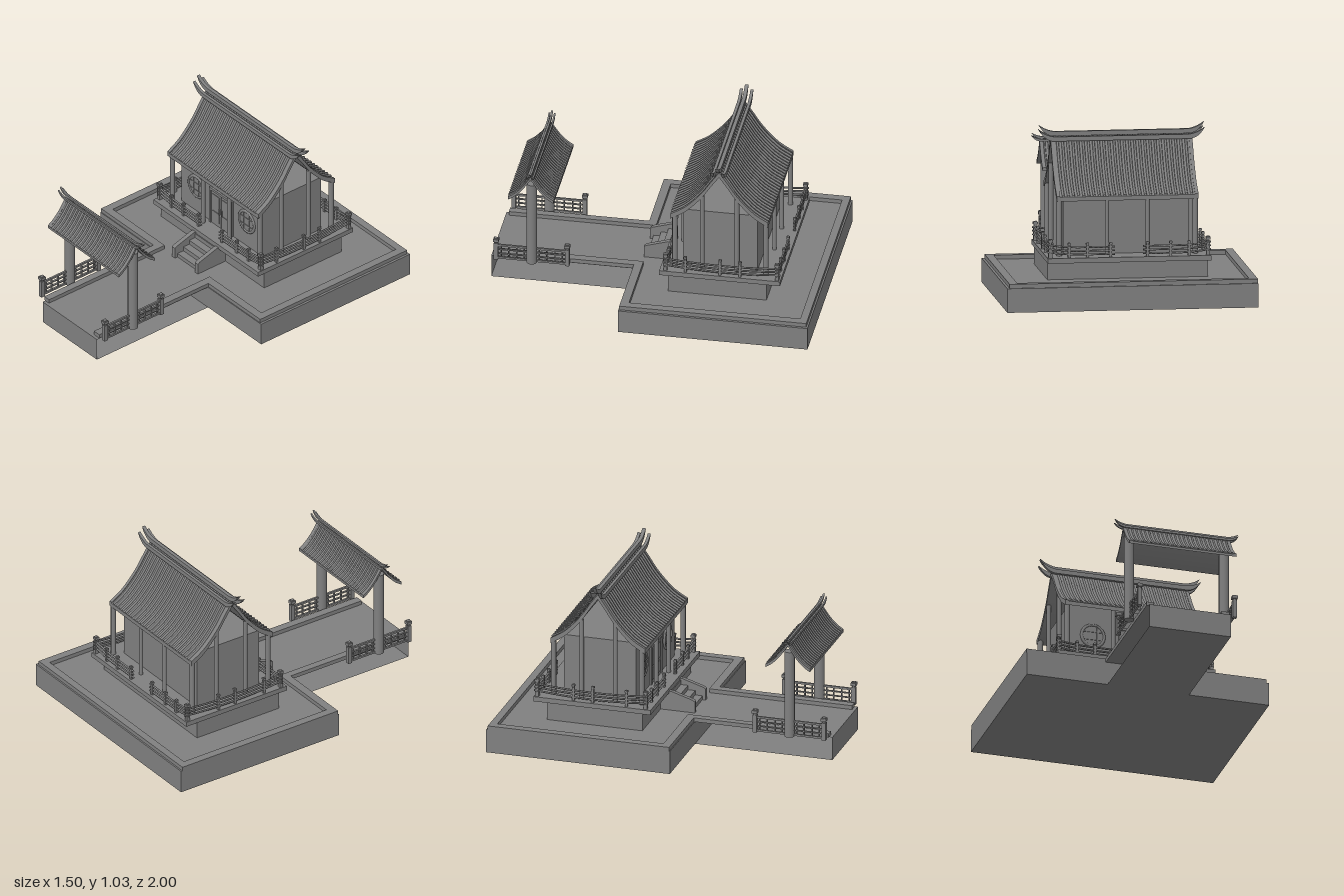
import * as THREE from 'three';

export function createModel() {
  const stone = new THREE.MeshStandardMaterial({ color: 0x808080, side: THREE.DoubleSide });
  stone.name = 'grey stone';
  const model = new THREE.Group();
  model.name = 'courtyardTemple';

  const group = (name, parent = model) => {
    const g = new THREE.Group();
    g.name = name;
    parent.add(g);
    return g;
  };
  const add = (parent, name, geo, x = 0, y = 0, z = 0) => {
    const m = new THREE.Mesh(geo, stone);
    m.name = name;
    m.position.set(x, y, z);
    parent.add(m);
    return m;
  };
  // Box given by its limits on each axis
  const box = (parent, name, x0, x1, y0, y1, z0, z1) =>
    add(parent, name, new THREE.BoxGeometry(x1 - x0, y1 - y0, z1 - z0), (x0 + x1) / 2, (y0 + y1) / 2, (z0 + z1) / 2);
  const column = (parent, name, x, z, y0, y1, r) =>
    add(parent, name, new THREE.CylinderGeometry(r, r, y1 - y0, 16), x, (y0 + y1) / 2, z);
  // Extrude a (z, y) outline along x, centred
  const extrudeX = (points, width) => {
    const geo = new THREE.ExtrudeGeometry(new THREE.Shape(points), { depth: width, bevelEnabled: false });
    return geo.translate(0, 0, -width / 2).rotateY(-Math.PI / 2);
  };
  const vec2 = (list) => list.map(([a, b]) => new THREE.Vector2(a, b));

  // Post with a lantern-like cap
  const post = (parent, x, z, y0, y1, w) => {
    const g = group('railPost', parent);
    const h = w / 2;
    box(g, 'shaft', x - h, x + h, y0, y1 - w * 1.3, z - h, z + h);
    box(g, 'neck', x - h * 0.6, x + h * 0.6, y1 - w * 1.3, y1 - w * 0.9, z - h * 0.6, z + h * 0.6);
    box(g, 'cap', x - h * 1.25, x + h * 1.25, y1 - w * 0.9, y1 - w * 0.2, z - h * 1.25, z + h * 1.25);
    box(g, 'capTop', x - h * 0.8, x + h * 0.8, y1 - w * 0.2, y1, z - h * 0.8, z + h * 0.8);
  };

  // Base terrace; the walkway is open along both sides
  const base = group('terrace');
  box(base, 'mainTerrace', -0.755, 0.75, 0, 0.145, -1, 0.145);
  for (const y of [0, 0.145]) {
    add(base, y ? 'walkwayTop' : 'walkwayBottom', new THREE.PlaneGeometry(0.507, 0.855).rotateX(y ? -Math.PI / 2 : Math.PI / 2), -0.001, y, 0.5725);
  }
  add(base, 'walkwayFront', new THREE.PlaneGeometry(0.507, 0.145), -0.001, 0.0725, 1);

  // Raised rim
  const rim = group('rim');
  const rimBox = (x0, x1, z0, z1) => box(rim, 'rimStrip', x0, x1, 0.145, 0.17, z0, z1);
  rimBox(-0.755, -0.705, -0.99, 0.14);
  rimBox(0.685, 0.735, -0.99, 0.14);
  rimBox(-0.705, 0.685, -0.99, -0.945);
  rimBox(-0.705, -0.22, 0.09, 0.14);
  rimBox(0.2, 0.685, 0.09, 0.14);
  rimBox(-0.265, -0.22, 0.14, 0.98);
  rimBox(0.2, 0.25, 0.14, 0.98);

  // Temple podium with framed panels and overhanging slab
  const temple = group('temple');
  temple.position.x = -0.012;
  const podium = group('podium', temple);
  box(podium, 'podiumCore', -0.47, 0.47, 0.145, 0.255, -0.69, -0.12);
  box(podium, 'podiumFoot', -0.482, 0.482, 0.145, 0.17, -0.702, -0.108);
  box(podium, 'podiumBand', -0.482, 0.482, 0.24, 0.256, -0.702, -0.108);
  for (const x of [-0.475, -0.27, -0.14, 0.14, 0.27, 0.475])
    box(podium, 'panelPost', x - 0.007, x + 0.007, 0.17, 0.24, -0.702, -0.108);
  for (const z of [-0.695, -0.525, -0.285, -0.115])
    box(podium, 'panelPost', -0.482, 0.482, 0.17, 0.24, z - 0.007, z + 0.007);
  box(podium, 'slab', -0.49, 0.49, 0.255, 0.285, -0.785, -0.055);

  // Front steps between sloping cheeks
  const steps = group('steps', temple);
  for (let i = 0; i < 4; i++)
    box(steps, 'step', -0.1, 0.1, 0.145, 0.17 + i * 0.028, -0.11, 0.085 - i * 0.045);
  const cheek = vec2([[0.105, 0.145], [0.105, 0.215], [0.09, 0.225], [-0.04, 0.265], [-0.11, 0.265], [-0.11, 0.145]]);
  for (const s of [-1, 1]) add(steps, 'cheek', extrudeX(cheek, 0.027), s * 0.107, 0, 0);

  // Hall
  const hall = group('hall', temple);
  box(hall, 'walls', -0.378, 0.378, 0.285, 0.66, -0.63, -0.18);
  for (const x of [-0.408, 0.408]) {
    column(hall, 'frontColumn', x, -0.135, 0.285, 0.645, 0.016);
    column(hall, 'backColumn', x, -0.685, 0.285, 0.64, 0.016);
    for (const z of [-0.3, -0.51]) column(hall, 'gableColumn', x, z, 0.285, 0.785, 0.014);
  }
  for (const x of [-0.122, 0.122]) {
    column(hall, 'innerFrontColumn', x, -0.135, 0.285, 0.645, 0.013);
    column(hall, 'innerBackColumn', x, -0.685, 0.285, 0.64, 0.013);
  }

  // Double door
  const door = group('door', hall);
  for (const s of [-1, 1]) {
    box(door, 'doorJamb', s * 0.099 - 0.008, s * 0.099 + 0.008, 0.285, 0.535, -0.18, -0.168);
    box(door, 'doorLeaf', s * 0.046 - 0.044, s * 0.046 + 0.044, 0.285, 0.52, -0.18, -0.174);
    box(door, 'doorPanel', s * 0.046 - 0.03, s * 0.046 + 0.03, 0.31, 0.38, -0.175, -0.17);
    box(door, 'doorPanel', s * 0.046 - 0.03, s * 0.046 + 0.03, 0.4, 0.5, -0.175, -0.17);
    box(door, 'doorHandle', s * 0.01 - 0.003, s * 0.01 + 0.003, 0.38, 0.42, -0.175, -0.165);
  }
  box(door, 'doorLintel', -0.107, 0.107, 0.52, 0.536, -0.18, -0.168);

  // Round lattice windows
  for (const s of [-1, 1]) {
    const win = group('roundWindow', hall);
    win.position.set(s * 0.235, 0.463, -0.178);
    add(win, 'frame', new THREE.TorusGeometry(0.07, 0.009, 8, 40));
    add(win, 'pane', new THREE.CylinderGeometry(0.066, 0.066, 0.006, 40).rotateX(Math.PI / 2));
    for (const t of [-0.025, 0.025]) {
      box(win, 'latticeBar', t - 0.003, t + 0.003, -0.062, 0.062, 0, 0.007);
      box(win, 'latticeBar', -0.062, 0.062, t - 0.003, t + 0.003, 0, 0.007);
    }
  }

  // Balustrade on the slab, rails sweeping up to the corners
  const balustrade = group('balustrade', temple);
  const rails = (from, to, lift0, lift1) => {
    for (const y of [0.303, 0.325, 0.347]) {
      const pts = [0, 0.15, 0.4, 0.7, 0.85, 1].map((t) => {
        const p = new THREE.Vector3().lerpVectors(from, to, t);
        p.y = y + 0.018 * (lift0 * Math.max(0, 1 - 2 * t) ** 2 + lift1 * Math.max(0, 2 * t - 1) ** 2);
        return p;
      });
      add(balustrade, 'rail', new THREE.TubeGeometry(new THREE.CatmullRomCurve3(pts), 16, 0.006, 6, false));
    }
  };
  const v = (x, z) => new THREE.Vector3(x, 0, z);
  for (const s of [-1, 1]) {
    for (const z of [-0.09, -0.765]) {
      rails(v(s * 0.49, z), v(s * 0.085, z), 1, 0);
      post(balustrade, s * 0.473, z, 0.285, 0.4, 0.022);
      for (const x of [0.36, 0.25, 0.11]) post(balustrade, s * x, z, 0.285, 0.375, 0.015);
    }
    rails(v(s * 0.473, -0.075), v(s * 0.473, -0.785), 1, 1);
    for (const z of [-0.21, -0.42, -0.54]) post(balustrade, s * 0.473, z, 0.285, 0.39, 0.015);
  }

  // Concave gabled roof with tile ribs and upturned ridges
  const makeRoof = (name, parent, o) => {
    const roof = group(name, parent);
    const curve = new THREE.SplineCurve(vec2(o.profile));
    const top = curve.getPoints(14);
    const mirror = (p) => new THREE.Vector2(-p.x, p.y);
    const drop = (p) => new THREE.Vector2(p.x, p.y - o.thick);
    const outline = [...top.slice(1).reverse().map(mirror), ...top,
      ...top.map(drop).reverse(), ...top.slice(1).map(drop).map(mirror)];
    add(roof, 'roofShell', extrudeX(outline, o.width));
    for (const s of [-1, 1]) {
      const path = new THREE.CatmullRomCurve3(o.profile.map(([z, y]) => new THREE.Vector3(0, y, s * z)));
      const rib = new THREE.TubeGeometry(path, 14, o.ribRadius, 6, false);
      for (let i = 0; i < o.ribs; i++)
        add(roof, 'tileRib', rib, (i / (o.ribs - 1) - 0.5) * o.ribSpan, 0.003, 0);
      add(roof, 'edgeBoard', extrudeX([...top, ...top.map(drop).reverse()].map((p) =>
        new THREE.Vector2(p.x, p.y + o.thick * 0.25)), 0.02), s * (o.width / 2 - 0.01), 0, 0);
      const far = roof.children[roof.children.length - 1].clone();
      far.rotation.y = Math.PI;
      roof.add(far);
    }
    // Ridge bars ending in horns
    for (const [z, y, tip, depth] of o.ridges) {
      const L = o.barHalf, T = o.tipHalf, h = o.barHeight;
      const sh = new THREE.Shape();
      sh.moveTo(-L, y);
      sh.lineTo(L, y);
      sh.quadraticCurveTo((L + T) / 2 + 0.01, y + 0.005, T, tip);
      sh.quadraticCurveTo((L + T) / 2 - 0.01, y + h, L - 0.02, y + h);
      sh.lineTo(-L + 0.02, y + h);
      sh.quadraticCurveTo(-(L + T) / 2 + 0.01, y + h, -T, tip);
      sh.quadraticCurveTo(-(L + T) / 2 - 0.01, y + 0.005, -L, y);
      const geo = new THREE.ExtrudeGeometry(sh, { depth, bevelEnabled: false, curveSegments: 8 });
      add(roof, 'ridge', geo, 0, 0, z - depth / 2);
    }
    return roof;
  };
  makeRoof('mainRoof', temple, {
    profile: [[0, 0.955], [0.05, 0.885], [0.1, 0.81], [0.16, 0.74], [0.22, 0.685], [0.295, 0.64]],
    thick: 0.026, width: 0.85, ribs: 26, ribSpan: 0.77, ribRadius: 0.008,
    barHalf: 0.41, tipHalf: 0.495, barHeight: 0.027,
    ridges: [[0, 0.963, 1.03, 0.022], [0.032, 0.935, 1, 0.018], [-0.032, 0.935, 1, 0.018]],
  }).position.z = -0.405;

  // Gate over the walkway
  const gate = group('gate');
  gate.position.x = -0.01;
  for (const s of [-1, 1]) column(gate, 'gateColumn', s * 0.295, 0.75, 0.145, 0.69, 0.031);
  makeRoof('gateRoof', gate, {
    profile: [[0, 0.75], [0.03, 0.705], [0.06, 0.665], [0.1, 0.625], [0.138, 0.6]],
    thick: 0.016, width: 0.665, ribs: 24, ribSpan: 0.61, ribRadius: 0.006,
    barHalf: 0.325, tipHalf: 0.382, barHeight: 0.014,
    ridges: [[0, 0.757, 0.795, 0.012], [0.016, 0.742, 0.778, 0.01], [-0.016, 0.742, 0.778, 0.01]],
  }).position.z = 0.75;

  // Lattice railings beside the gate columns
  for (const s of [-1, 1]) {
    const fence = group('gateRailing', gate);
    const x = s * 0.295;
    const bar = (y0, y1, z0, z1) => box(fence, 'fenceBar', x - 0.006, x + 0.006, y0, y1, z0, z1);
    for (const z of [0.535, 0.965]) post(fence, x, z, 0.145, 0.29, 0.026);
    for (const c of [0.635, 0.865]) {
      bar(0.235, 0.247, c - 0.1, c + 0.1);
      bar(0.15, 0.162, c - 0.1, c + 0.1);
      bar(0.182, 0.188, c - 0.085, c + 0.085);
      bar(0.21, 0.216, c - 0.085, c + 0.085);
      for (const d of [-0.07, -0.025, 0.025, 0.07]) bar(0.16, 0.237, c + d - 0.003, c + d + 0.003);
    }
  }
  return model;
}
